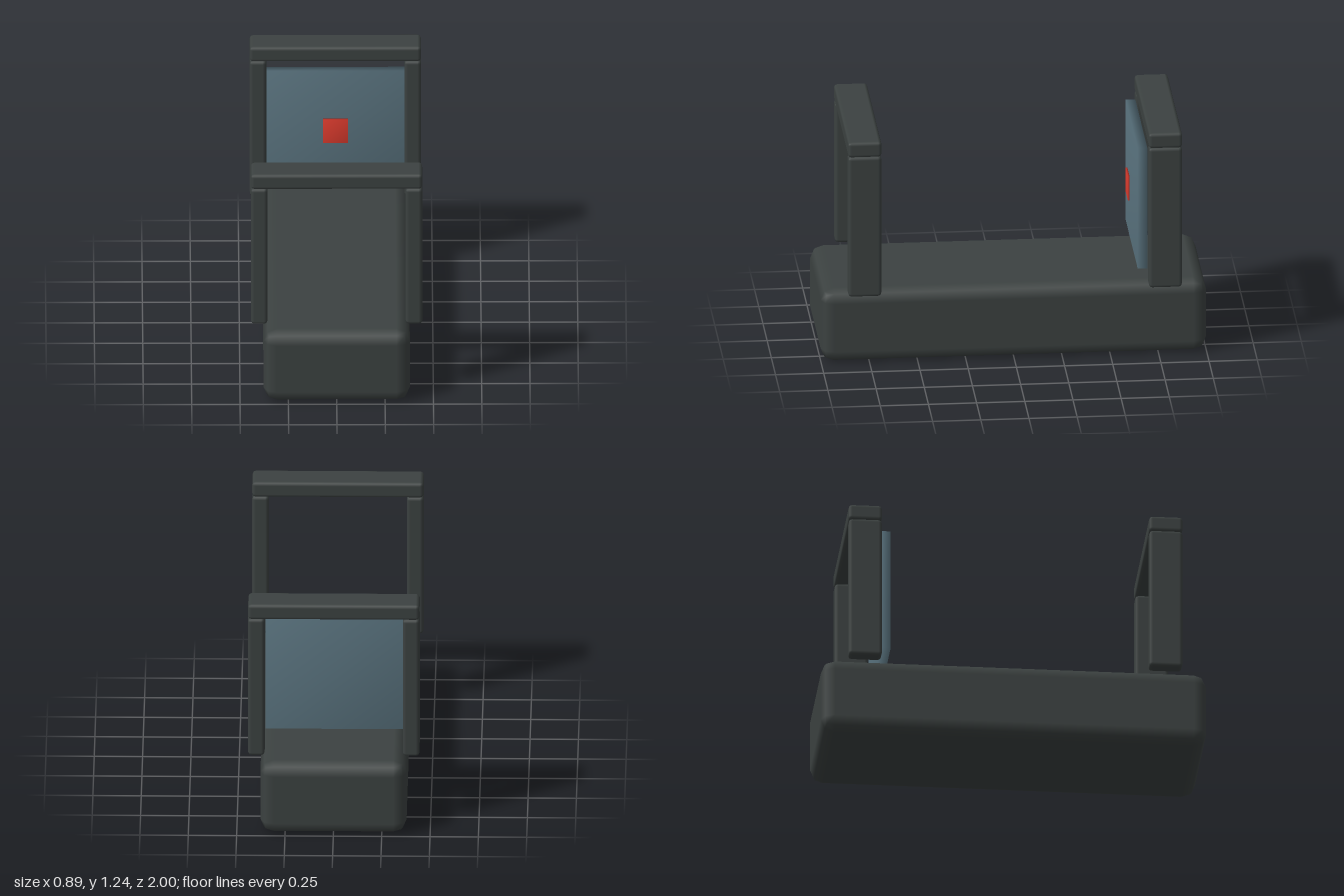
import * as THREE from 'three';
import { RoundedBoxGeometry } from 'three/addons/geometries/RoundedBoxGeometry.js';
import { mergeVertices } from 'three/addons/utils/BufferGeometryUtils.js';

// Box with a soft, two-step bevel on every edge
const bevelledBox = (w, h, d, radius) => new RoundedBoxGeometry(w, h, d, 1, radius);

// Plain slab whose normals are smoothed across its shared corners
function smoothSlab(w, h, d) {
  const box = new THREE.BoxGeometry(w, h, d);
  box.deleteAttribute('normal');
  box.deleteAttribute('uv');
  const slab = mergeVertices(box);
  slab.computeVertexNormals();
  return slab;
}

export function createModel() {
  const model = new THREE.Group();
  model.name = 'bench';

  const darkFrame = new THREE.MeshStandardMaterial({ color: 0x3c4241 });
  darkFrame.name = 'dark frame';
  const slateBlue = new THREE.MeshStandardMaterial({ color: 0x5c7682 });
  slateBlue.name = 'slate blue';
  const signalRed = new THREE.MeshStandardMaterial({ color: 0xe23d2f });
  signalRed.name = 'signal red';

  const add = (parent, name, geometry, material, x, y, z) => {
    const mesh = new THREE.Mesh(geometry, material);
    mesh.name = name;
    mesh.position.set(x, y, z);
    parent.add(mesh);
  };

  // Long base block
  add(model, 'base', bevelledBox(0.756, 0.4, 2, 0.068), darkFrame, 0, 0.2, 0);

  // Two matching gates: a pair of posts with a crossbar
  const postGeometry = bevelledBox(0.086, 0.773, 0.172, 0.018);
  const barGeometry = bevelledBox(0.886, 0.084, 0.174, 0.018);
  for (const [name, z] of [['frontGate', 0.78], ['backGate', -0.78]]) {
    const gate = new THREE.Group();
    gate.name = name;
    gate.position.z = z;
    add(gate, 'leftPost', postGeometry, darkFrame, 0.4, 0.777, 0);
    add(gate, 'rightPost', postGeometry, darkFrame, -0.4, 0.777, 0);
    add(gate, 'crossbar', barGeometry, darkFrame, 0, 1.202, 0);
    model.add(gate);
  }

  // Panel in front of the back gate, with a small red plate floating before it
  add(model, 'panel', smoothSlab(0.712, 0.665, 0.05), slateBlue, 0, 0.803, -0.667);
  add(model, 'redPlate', smoothSlab(0.13, 0.133, 0.009), signalRed, 0, 0.804, -0.621);

  return model;
}
